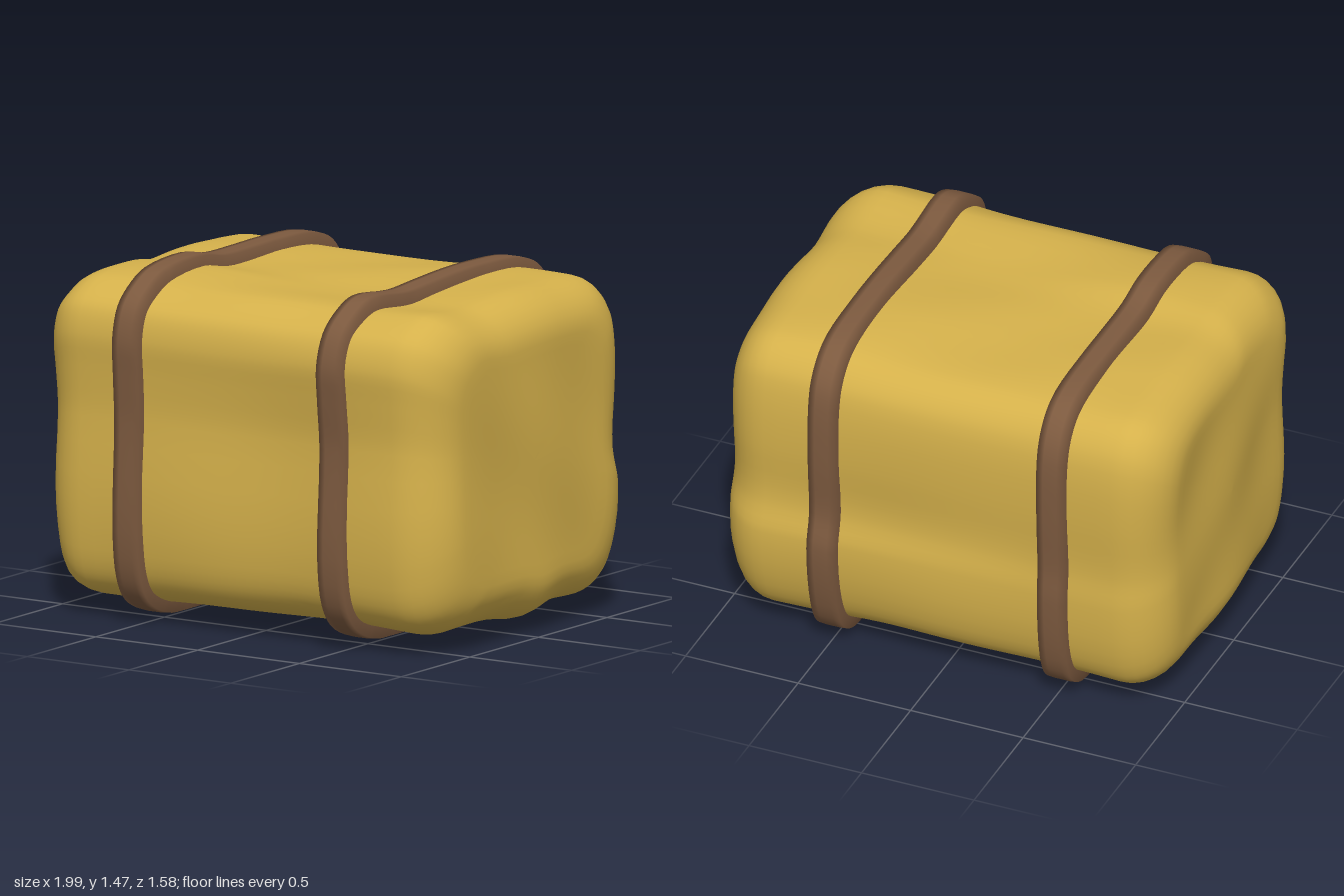
import * as THREE from 'three';

const MID = 0.74;      // height of the bale's centre
const STEPS = 112;     // points around each ring
const END = 0.98;      // half length of the bale
const ROUND = 0.21;    // rounding of the bale's ends
const STRAP = 0.045;   // how far the straps stand out
const STRAP_X = { rightStrap: -0.517, leftStrap: 0.498 };

// Outer strap outlines as [z, y], running up the front, over the top and down the back
const LEFT_OUTLINE = [
  [0.765, 0.85], [0.783, 1.05], [0.79, 1.2], [0.74, 1.33], [0.64, 1.41], [0.53, 1.452],
  [0.27, 1.435], [0.1, 1.445], [-0.1, 1.457], [-0.3, 1.46], [-0.57, 1.442], [-0.67, 1.395],
  [-0.74, 1.31], [-0.768, 1.2], [-0.772, 0.93], [-0.758, 0.68], [-0.787, 0.52], [-0.745, 0.23],
  [-0.68, 0.1], [-0.57, 0.035], [-0.3, 0.03], [-0.1, 0.006], [0.1, 0.03], [0.4, 0.03],
  [0.54, 0.037], [0.68, 0.1], [0.75, 0.2], [0.782, 0.4],
];
const RIGHT_OUTLINE = [
  [0.755, 0.85], [0.765, 1.05], [0.77, 1.2], [0.73, 1.33], [0.63, 1.415], [0.53, 1.458],
  [0.27, 1.478], [0.1, 1.45], [-0.1, 1.448], [-0.3, 1.45], [-0.57, 1.435], [-0.67, 1.39],
  [-0.735, 1.31], [-0.767, 1.2], [-0.77, 0.93], [-0.758, 0.68], [-0.765, 0.52], [-0.735, 0.23],
  [-0.68, 0.11], [-0.57, 0.042], [-0.3, 0.032], [-0.1, 0.028], [0.1, 0.03], [0.4, 0.024],
  [0.54, 0.033], [0.68, 0.1], [0.74, 0.2], [0.768, 0.4],
];
const toCurve = (outline) =>
  new THREE.CatmullRomCurve3(outline.map(([z, y]) => new THREE.Vector3(0, y, z)), true);
const leftCurve = toCurve(LEFT_OUTLINE), rightCurve = toCurve(RIGHT_OUTLINE);

// Point i of a curve, moved inwards by depth
function inset(curve, i, depth) {
  const p = curve.getPoint(i / STEPS), t = curve.getTangent(i / STEPS);
  return new THREE.Vector3(0, p.y + t.z * depth, p.z - t.y * depth);
}

// Outline point at a place along the bale, blended between both straps
function outlinePoint(i, depth, x) {
  const f = THREE.MathUtils.clamp(
    (x - STRAP_X.rightStrap) / (STRAP_X.leftStrap - STRAP_X.rightStrap), 0, 1);
  return inset(rightCurve, i, depth).lerp(inset(leftCurve, i, depth), f);
}

// Soft lumps in the packed surface
function lump(x, y, z) {
  return 0.007 * Math.sin(5.1 * x + 2.3 * y + 1.2) * Math.cos(4.7 * z - 2.1 * y)
    + 0.004 * Math.sin(9.3 * y - 6.1 * z + 0.7)
    + 0.004 * Math.sin(9.9 * z + 7.2 * x + 2.0);
}

// Skin of rows x columns; rows run around the outline, columns run towards +x
function skin(columns, pointAt) {
  const verts = [], index = [];
  for (let i = 0; i < STEPS; i++) {
    for (let j = 0; j < columns; j++) verts.push(...pointAt(i, j));
    for (let j = 0; j < columns - 1; j++) {
      const a = i * columns + j, c = ((i + 1) % STEPS) * columns + j;
      index.push(a, a + 1, c, a + 1, c + 1, c);
    }
  }
  const geo = new THREE.BufferGeometry();
  geo.setAttribute('position', new THREE.Float32BufferAttribute(verts, 3));
  geo.setIndex(index);
  geo.computeVertexNormals();
  return geo;
}

// Lengthwise profile of the bale: x, size of the ring, and the direction lumps push
function baleProfile() {
  const half = [];
  for (let k = 0; k <= 12; k++) half.push({ x: k * (END - ROUND) / 12, size: 1, nx: 0, nr: 1 });
  for (let k = 1; k <= 8; k++) {
    const a = k / 8 * Math.PI / 2;
    half.push({
      x: END - ROUND + ROUND * Math.sin(a),
      size: 1 - ROUND * (1 - Math.cos(a)) / 0.72,
      nx: Math.sin(a), nr: Math.cos(a),
    });
  }
  const rim = half[half.length - 1].size;
  for (let k = 9; k >= 0; k--) half.push({ x: END, size: rim * k / 10, nx: 1, nr: 0 });
  const mirrored = half.slice(1).reverse().map((r) => ({ ...r, x: -r.x, nx: -r.nx }));
  return [...mirrored, ...half];
}

function baleGeometry() {
  const profile = baleProfile();
  return skin(profile.length, (i, j) => {
    const { x, size, nx, nr } = profile[j];
    const p = outlinePoint(i, STRAP, x);
    // top and bottom draw in slightly between the straps
    const sag = 1 - 0.018 * Math.max(0, Math.cos(Math.PI * x));
    const y = (p.y - MID) * size * sag, z = p.z * size;
    const d = lump(x, y, z);
    const swell = 1 + nr * d / 0.75;
    return [x + nx * d * 1.3, MID + y * swell, z * swell];
  });
}

// Band section as [x, depth below the outer outline]
const SECTION = [[-0.06, 0.08], [-0.06, 0.003], [-0.03, 0], [0.03, 0], [0.06, 0.003], [0.06, 0.08]];

function strapGeometry(strapX) {
  return skin(SECTION.length, (i, j) => {
    const [x, depth] = SECTION[j];
    const p = outlinePoint(i, depth, strapX);
    return [x, p.y, p.z];
  });
}

export function createModel() {
  const straw = new THREE.MeshStandardMaterial({ color: 0xd5b14b });
  straw.name = 'straw';
  const leather = new THREE.MeshStandardMaterial({ color: 0x7d5a3f });
  leather.name = 'leather';

  const model = new THREE.Group();
  model.name = 'strappedBale';

  const bale = new THREE.Mesh(baleGeometry(), straw);
  bale.name = 'bale';
  model.add(bale);

  // Two straps wrapped around the bale
  for (const [name, x] of Object.entries(STRAP_X)) {
    const strap = new THREE.Mesh(strapGeometry(x), leather);
    strap.name = name;
    strap.position.x = x;
    model.add(strap);
  }
  return model;
}
